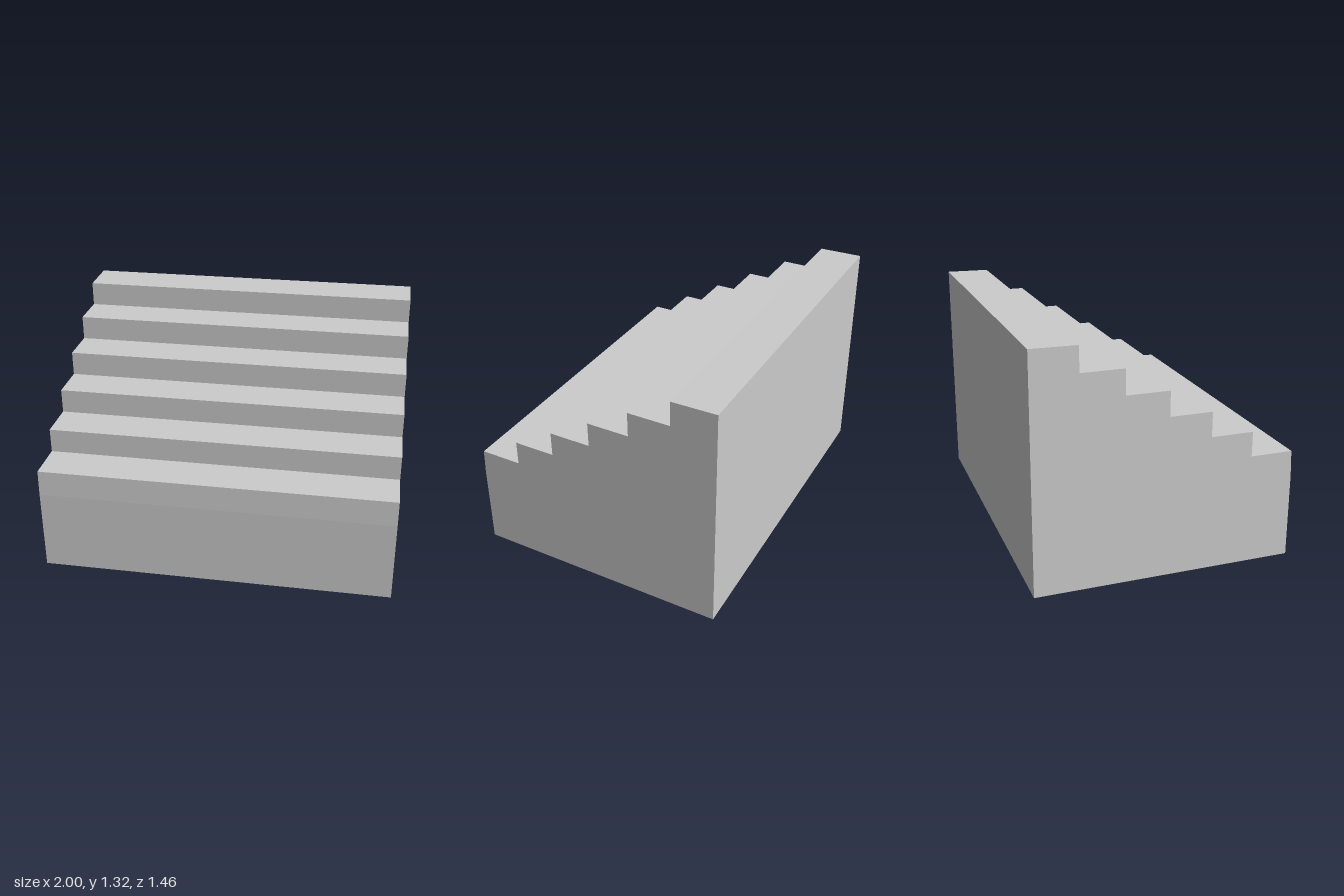
import * as THREE from 'three';

const HALF_WIDTH = 1;
const STEPS = 6;
const RISE = 0.14;
const FIRST_TREAD = 0.617;
const RISERS = [0.722, 0.482, 0.244, 0.006, -0.234, -0.474];
const BACK = -0.728;

const material = new THREE.MeshStandardMaterial({ color: 0xcccccc, side: THREE.DoubleSide, flatShading: true });

// Sheet spanning the full width between two [z, y] profile points
function sheet(name, [z0, y0], [z1, y1]) {
  const w = HALF_WIDTH;
  const geometry = new THREE.BufferGeometry();
  geometry.setAttribute('position', new THREE.Float32BufferAttribute(
    [-w, y0, z0, w, y0, z0, w, y1, z1, -w, y1, z1], 3));
  geometry.setIndex([0, 1, 2, 0, 2, 3]);
  geometry.computeVertexNormals();
  const mesh = new THREE.Mesh(geometry, material);
  mesh.name = name;
  return mesh;
}

export function createModel() {
  const model = new THREE.Group();
  model.name = 'staircase';

  // Stepped profile from the front foot, over the treads, to the back foot
  const profile = [[0.728, 0], [0.728, 0.47]];
  const names = ['frontWall', 'frontWallUpper'];
  for (let i = 0; i < STEPS; i++) {
    const y = FIRST_TREAD + i * RISE;
    const last = i === STEPS - 1;
    profile.push([RISERS[i], y], last ? [BACK, y + 0.003] : [RISERS[i + 1], y]);
    names.push(`tread${i + 1}`, last ? 'backWall' : `riser${i + 1}`);
  }
  profile.push([BACK, 0]);

  // Front wall, treads, risers and back wall; the underside stays open
  names.forEach((name, i) => model.add(sheet(name, profile[i], profile[i + 1])));

  // Side walls, with the profile's z turned onto the model's z axis
  const shape = new THREE.Shape(profile.map(([z, y]) => new THREE.Vector2(-z, y)));
  for (const side of [-1, 1]) {
    const geometry = new THREE.ShapeGeometry(shape);
    geometry.rotateY(Math.PI / 2);
    if (side < 0) {
      // Reverse the winding so this wall faces outward
      geometry.setIndex(Array.from(geometry.index.array).reverse());
      geometry.computeVertexNormals();
    }
    const wall = new THREE.Mesh(geometry, material);
    wall.name = side > 0 ? 'leftSideWall' : 'rightSideWall';
    wall.position.x = side * HALF_WIDTH;
    model.add(wall);
  }
  return model;
}
